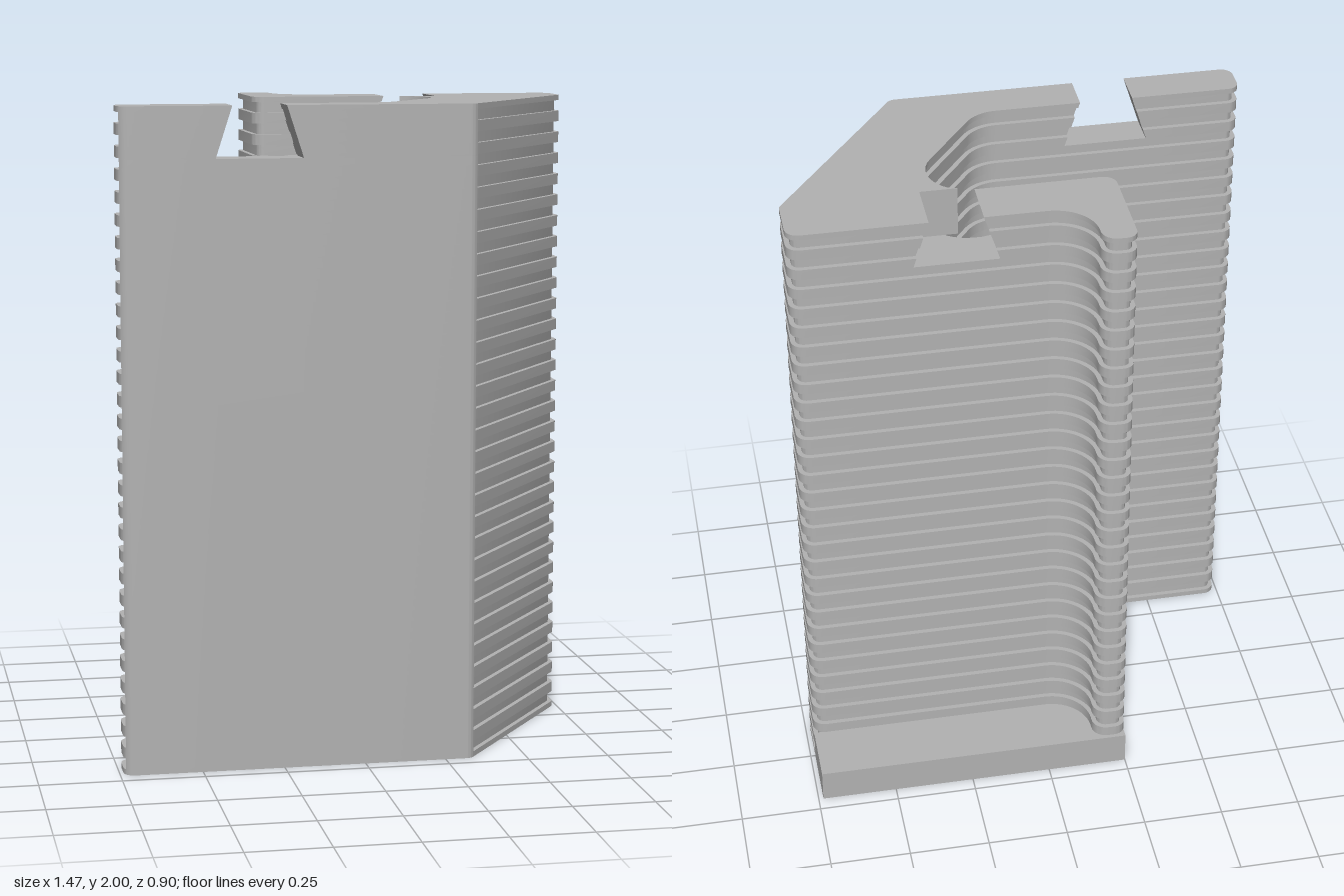
import * as THREE from 'three';
import { toCreasedNormals } from 'three/addons/utils/BufferGeometryUtils.js';

const PITCH = 2 / 30, DEPTH = 0.015, NOTCH_Y = 1.845, TOP = 2;

// Open path [x, z, radius] with filleted corners
function roundPath(corners) {
  const out = [];
  corners.forEach(([x, z, r], i) => {
    if (!r) return out.push(new THREE.Vector2(x, z));
    const p = new THREE.Vector2(x, z);
    const u = new THREE.Vector2(corners[i - 1][0], corners[i - 1][1]).sub(p).normalize();
    const v = new THREE.Vector2(corners[i + 1][0], corners[i + 1][1]).sub(p).normalize();
    const half = Math.acos(u.dot(v)) / 2;
    const centre = u.clone().add(v).normalize().multiplyScalar(r / Math.sin(half)).add(p);
    const t = r / Math.tan(half);
    const a = u.multiplyScalar(t).add(p).sub(centre);
    const b = v.multiplyScalar(t).add(p).sub(centre);
    const a0 = a.angle();
    let sweep = b.angle() - a0;
    if (sweep > Math.PI) sweep -= 2 * Math.PI;
    if (sweep < -Math.PI) sweep += 2 * Math.PI;
    const n = r > 0.1 ? 14 : 8;
    for (let k = 0; k <= n; k++) {
      const w = a0 + (sweep * k) / n;
      out.push(new THREE.Vector2(centre.x + r * Math.cos(w), centre.y + r * Math.sin(w)));
    }
  });
  return out;
}

// Move a path inwards for the grooves; the front face stays flush
function insetPath(path, d) {
  return path.map((p, i) => {
    if (p.y > 0.432) return p.clone();
    const q = path[Math.max(i - 1, 0)], s = path[Math.min(i + 1, path.length - 1)];
    const dir = s.clone().sub(q).normalize();
    return new THREE.Vector2(p.x - dir.y * d, p.y + dir.x * d);
  });
}

// The four runs of the outline between the two dovetail notches
function runs(y, inset) {
  const flare = 0.05 * Math.min(1, (TOP - y) / (TOP - NOTCH_Y));
  const fl = -0.4 - flare, fr = -0.238 + flare;
  const rl = 0.165 - flare, rr = 0.325 + flare;
  const list = [
    [[fl, 0.45], [-0.738, 0.45, 0.035], [-0.738, 0.325, 0.035], [fl, 0.325]],
    [[fr, 0.325], [0.084, 0.325, 0.12], [0.405, -0.115, 0.12], [0.166, -0.115]],
    [[rl, -0.115], [-0.25, -0.115, 0.04], [-0.25, -0.455, 0.035],
      [-0.147, -0.455, 0.045], [-0.147, -0.272, 0.127], [rl, -0.272]],
    [[rr, -0.272], [0.735, -0.272, 0.04], [0.735, -0.11, 0.03], [0.348, 0.425],
      [0.33, 0.45, 0.03], [fr, 0.45]],
  ].map(roundPath);
  const paths = inset ? list.map((p) => insetPath(p, DEPTH)) : list;
  return { paths, rr };
}

const outlines = {
  lower: (y, inset) => runs(y, inset).paths.flat(),
  frontTip: (y, inset) => runs(y, inset).paths[0],
  rearHook: (y, inset) => runs(y, inset).paths[2],
  centre: (y, inset) => {
    const { paths, rr } = runs(y, inset);
    // The rear notch ends in a flat wall at z = -0.1
    return [...paths[1].filter((p) => p.y > -0.095), new THREE.Vector2(0.213, -0.1),
      new THREE.Vector2(rr, -0.1), ...paths[3]];
  },
};

// Prism between two matching outlines
function addLayer(pos, low, high, y0, y1) {
  const n = low.length;
  const put = (p, y) => pos.push(p.x, y, p.y);
  for (let i = 0; i < n; i++) {
    const j = (i + 1) % n;
    put(low[j], y0); put(low[i], y0); put(high[i], y1);
    put(low[j], y0); put(high[i], y1); put(high[j], y1);
  }
  for (const [pts, y, up] of [[low, y0, false], [high, y1, true]]) {
    for (const [a, b, c] of THREE.ShapeUtils.triangulateShape(pts.map((p) => p.clone()), [])) {
      const u = pts[b].clone().sub(pts[a]), v = pts[c].clone().sub(pts[a]);
      const facesUp = u.y * v.x - u.x * v.y > 0;
      const order = facesUp === up ? [a, b, c] : [a, c, b];
      order.forEach((k) => put(pts[k], y));
    }
  }
}

// Alternate full and grooved layers from yMin to yMax
function ribbed(outline, yMin, yMax) {
  const levels = [[0, false]];
  for (let k = 0; k < 30; k++) {
    levels.push([(k + 0.25) * PITCH, true], [(k + 0.75) * PITCH, false]);
  }
  const pos = [];
  levels.forEach(([start, inset], i) => {
    const y0 = Math.max(start, yMin);
    const y1 = Math.min(i + 1 < levels.length ? levels[i + 1][0] : TOP, yMax);
    if (y1 - y0 > 1e-5) addLayer(pos, outline(y0, inset), outline(y1, inset), y0, y1);
  });
  const geo = new THREE.BufferGeometry();
  geo.setAttribute('position', new THREE.Float32BufferAttribute(pos, 3));
  return toCreasedNormals(geo, 0.5);
}

export function createModel() {
  const group = new THREE.Group();
  const grey = new THREE.MeshStandardMaterial({ color: 0xb2b2b2 });
  grey.name = 'plain grey';
  const add = (name, geo) => {
    const mesh = new THREE.Mesh(geo, grey);
    mesh.name = name;
    group.add(mesh);
    return mesh;
  };

  // Ribbed body, whole below the notches and in three pieces beside them
  add('ribbedBody', ribbed(outlines.lower, 0, NOTCH_Y));
  add('frontTip', ribbed(outlines.frontTip, NOTCH_Y, TOP));
  add('centreTop', ribbed(outlines.centre, NOTCH_Y, TOP));
  add('rearHookTop', ribbed(outlines.rearHook, NOTCH_Y, TOP));

  // Ledge along the foot of the back
  const ledge = add('rearLedge', new THREE.BoxGeometry(0.985, 0.105, 0.198));
  ledge.position.set(0.2425, 0.0525, -0.356);
  return group;
}
